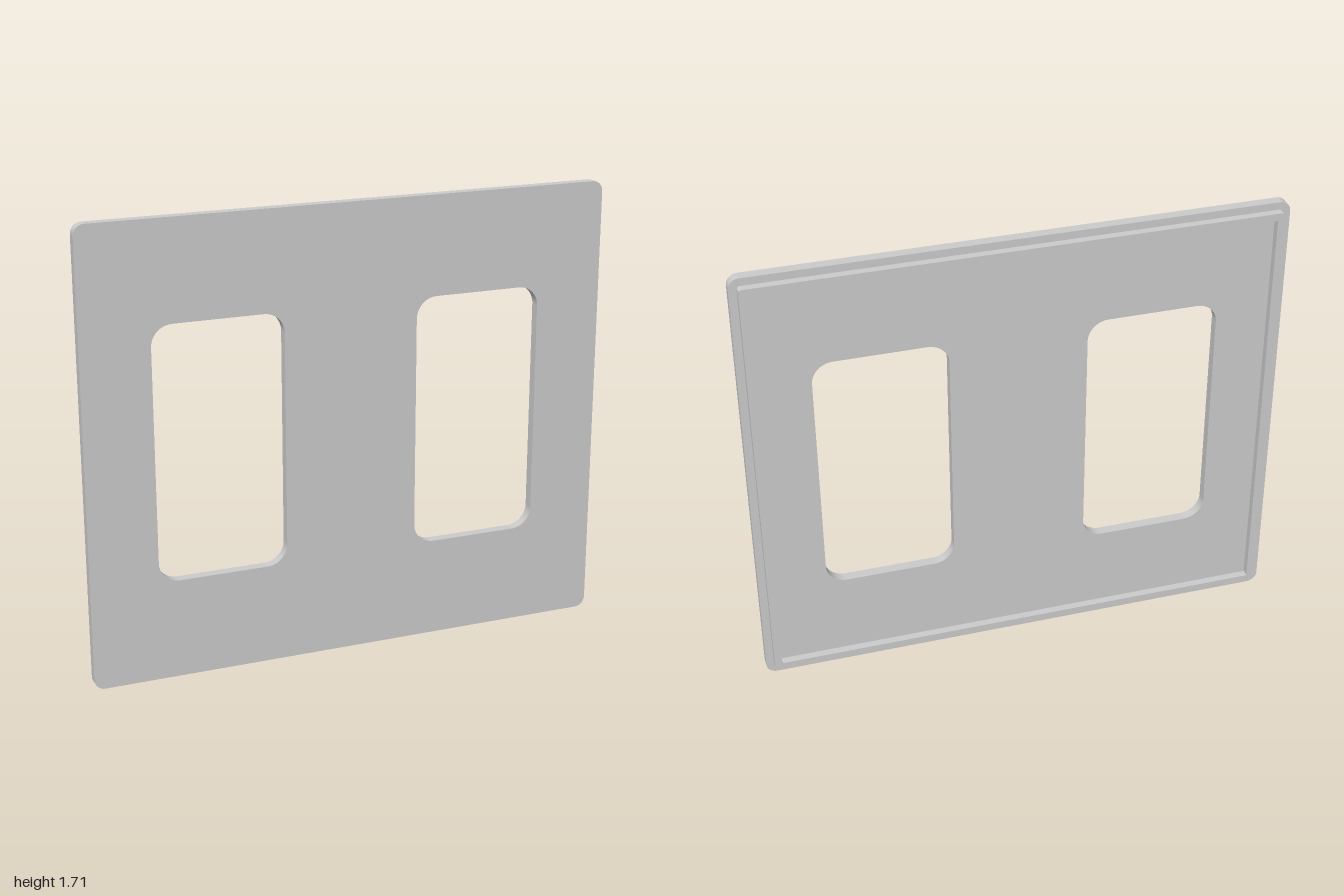
import * as THREE from 'three';

// Traces a rounded rectangle, centred on (cx, cy), into a Shape or Path
function roundedRect(path, cx, cy, w, h, r) {
  const x = w / 2 - r, y = h / 2 - r;
  path.moveTo(cx + x + r, cy - y);
  path.absarc(cx + x, cy + y, r, 0, Math.PI / 2);
  path.absarc(cx - x, cy + y, r, Math.PI / 2, Math.PI);
  path.absarc(cx - x, cy - y, r, Math.PI, Math.PI * 1.5);
  path.absarc(cx + x, cy - y, r, Math.PI * 1.5, Math.PI * 2);
  path.closePath();
  return path;
}

export function createModel() {
  const group = new THREE.Group();
  group.name = 'twoWindowWallPlate';
  const material = new THREE.MeshStandardMaterial({ color: 0xcccccc });

  const height = 1.714, midY = height / 2;
  const backZ = -0.034, stepZ = -0.005, frontZ = 0.034;

  function addPart(name, shape, z0, z1) {
    const geometry = new THREE.ExtrudeGeometry(shape, {
      depth: z1 - z0, bevelEnabled: false, curveSegments: 10,
    });
    geometry.translate(0, 0, z0);
    const mesh = new THREE.Mesh(geometry, material);
    mesh.name = name;
    group.add(mesh);
  }

  // Face plate with two rounded windows
  const plate = roundedRect(new THREE.Shape(), 0, midY, 2, height, 0.04);
  for (const side of [-1, 1]) {
    plate.holes.push(roundedRect(new THREE.Path(), side * 0.5, midY + 0.002, 0.49, 0.96, 0.078));
  }
  addPart('facePlate', plate, stepZ, frontZ);

  // Narrow raised rim around the back, set in from the plate edge
  const rim = roundedRect(new THREE.Shape(), 0, midY, 1.942, height - 0.058, 0.012);
  rim.holes.push(roundedRect(new THREE.Path(), 0, midY, 1.886, height - 0.114, 0.004));
  addPart('backRim', rim, backZ, stepZ);

  return group;
}
